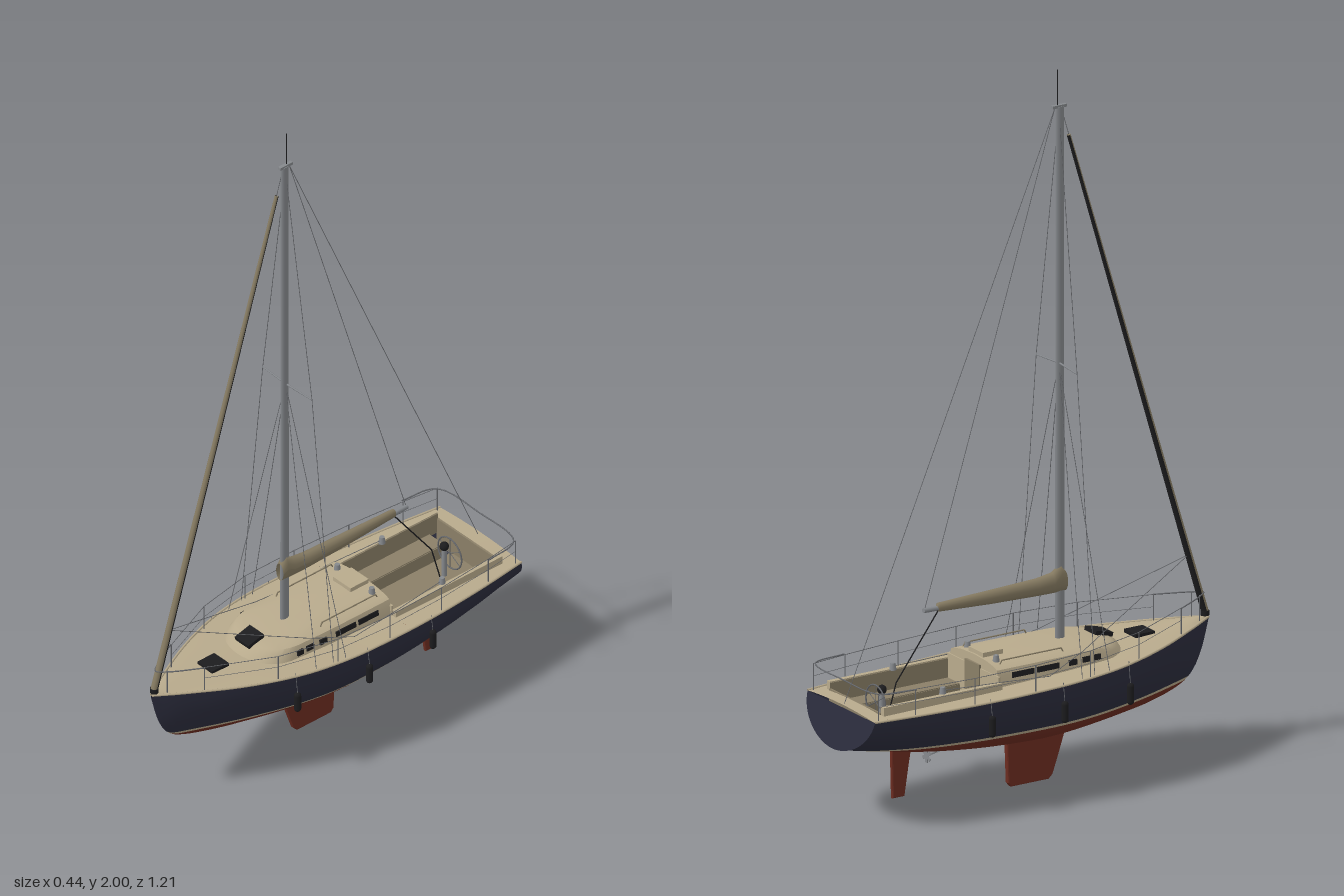
import * as THREE from 'three';
import { toCreasedNormals } from 'three/addons/utils/BufferGeometryUtils.js';

const mat = (name, color) => {
  const m = new THREE.MeshStandardMaterial({ color, side: THREE.DoubleSide });
  m.name = name;
  return m;
};
const M = {
  navy: mat('navy topsides', 0x2b2c3c),
  red: mat('red antifouling', 0x6c2c20),
  deck: mat('sand deck', 0xb8aa8c),
  teak: mat('cockpit tan', 0x8a7f67),
  canvas: mat('sail canvas', 0x857a61),
  metal: mat('spar grey', 0x85888c),
  steel: mat('rigging steel', 0x66686c),
  black: mat('black fittings', 0x1c1c1e),
};
const V = (x, y, z) => new THREE.Vector3(x, y, z);
const clamp = THREE.MathUtils.clamp, lerp = THREE.MathUtils.lerp;

// Hull stations: z, half beam, sheer height, bottom height
const STATIONS = [
  [-0.575, 0.165, 0.325, 0.213], [-0.4, 0.186, 0.326, 0.172], [-0.2, 0.2, 0.328, 0.143],
  [0, 0.203, 0.333, 0.13], [0.1, 0.197, 0.337, 0.132], [0.2, 0.181, 0.341, 0.138],
  [0.3, 0.152, 0.346, 0.146], [0.4, 0.111, 0.351, 0.158], [0.5, 0.06, 0.357, 0.185],
  [0.55, 0.033, 0.36, 0.22], [0.58, 0.014, 0.361, 0.278], [0.6, 0.002, 0.362, 0.35],
];
function at(z, k) {
  let i = 0;
  while (i < STATIONS.length - 2 && z > STATIONS[i + 1][0]) i++;
  const slope = j => {
    const a = STATIONS[Math.max(0, j - 1)], b = STATIONS[Math.min(STATIONS.length - 1, j + 1)];
    return (b[k] - a[k]) / (b[0] - a[0]);
  };
  const a = STATIONS[i], b = STATIONS[i + 1], h = b[0] - a[0], t = clamp((z - a[0]) / h, 0, 1);
  return a[k] * (1 + 2 * t) * (1 - t) ** 2 + slope(i) * h * t * (1 - t) ** 2
    + b[k] * t * t * (3 - 2 * t) + slope(i + 1) * h * t * t * (t - 1);
}
function hullPoint(z, y, side) {
  const t = clamp((y - at(z, 3)) / (at(z, 2) - at(z, 3)), 0, 1);
  const p = 1.9 - 0.4 * clamp((z - 0.1) / 0.5, 0, 1);
  const x = at(z, 1) * Math.pow(1 - Math.pow(1 - t, p), 1 / p);
  return [side * x, y, z - 0.03 * (1 - t) * clamp((-z - 0.45) / 0.125, 0, 1)];
}
const deckY = (x, z) => at(z, 2) + 0.008 * (1 - (x / at(z, 1)) ** 2);
const bowward = v => -0.575 + 1.175 * (1 - Math.pow(1 - v, 1.5));

// Rectangular surface patch; fn takes the u and v indices
function grid(nu, nv, fn) {
  const pos = [], idx = [];
  for (let u = 0; u <= nu; u++) for (let v = 0; v <= nv; v++) pos.push(...fn(u, v));
  for (let u = 0; u < nu; u++) for (let v = 0; v < nv; v++) {
    const a = u * (nv + 1) + v, c = a + nv + 1;
    idx.push(a, a + 1, c, c, a + 1, c + 1);
  }
  const g = new THREE.BufferGeometry();
  g.setAttribute('position', new THREE.Float32BufferAttribute(pos, 3));
  g.setIndex(idx);
  g.computeVertexNormals();
  return g;
}

export function createModel() {
  const boat = new THREE.Group();
  boat.name = 'sailboat';
  const add = (name, geo, m, x = 0, y = 0, z = 0) => {
    const mesh = new THREE.Mesh(geo, m);
    mesh.name = name;
    mesh.position.set(x, y, z);
    boat.add(mesh);
    return mesh;
  };
  const box = (name, w, h, d, m, x, y, z) => add(name, new THREE.BoxGeometry(w, h, d), m, x, y, z);
  const rod = (name, a, b, r, m, r2 = r, sides = 6) => {
    const mesh = add(name, new THREE.CylinderGeometry(r2, r, a.distanceTo(b), sides), m);
    mesh.position.copy(a).lerp(b, 0.5);
    mesh.quaternion.setFromUnitVectors(V(0, 1, 0), b.clone().sub(a).normalize());
    return mesh;
  };
  const line = (name, pts, r = 0.001, m = M.steel) => {
    for (let i = 1; i < pts.length; i++) rod(name, pts[i - 1], pts[i], r, m, r, 5);
  };
  const tube = (name, pts, r, m, n = 40) =>
    add(name, new THREE.TubeGeometry(new THREE.CatmullRomCurve3(pts), n, r, 6), m);

  // Hull: topsides, waterline stripe and bottom in one skin
  const NV = 48, TOP = 6, BOT = 8, HALF = TOP + 1 + BOT;
  const hull = grid(2 * HALF, NV, (u, v) => {
    const z = bowward(v / NV), side = u <= HALF ? 1 : -1, k = u <= HALF ? u : 2 * HALF - u;
    const b = at(z, 3), s = at(z, 2), hi = Math.max(b, 0.21), lo = Math.max(b, 0.2);
    const y = k <= TOP ? lerp(s, hi, k / TOP) : lerp(b, lo, ((HALF - k) / BOT) ** 2);
    return hullPoint(z, y, side);
  });
  let start = 0;
  [[TOP, 0], [1, 1], [2 * BOT, 2], [1, 1], [TOP, 0]].forEach(([rows, m]) => {
    hull.addGroup(start, rows * NV * 6, m);
    start += rows * NV * 6;
  });
  add('hull', hull, [M.navy, M.deck, M.red]);
  add('transom', grid(1, 16, (u, v) => {
    const b = at(-0.575, 3), s = at(-0.575, 2);
    return hullPoint(-0.575, lerp(b, s, (v / 16) ** 2), u ? 1 : -1);
  }), M.navy);

  // Deck around the cockpit opening
  const deck = (z0, z1, nv, x0, x1) => add('deck', grid(8, nv, (u, v) => {
    const z = lerp(z0, z1, v / nv), w = at(z, 1);
    const x = lerp(x0 ?? -w, x1 ?? w, u / 8);
    return [x, deckY(x, z), z];
  }), M.deck);
  deck(-0.575, -0.53, 2);
  deck(-0.53, -0.15, 12, 0.125, undefined);
  deck(-0.53, -0.15, 12, undefined, -0.125);
  deck(-0.15, 0.6, 30);

  // Cockpit
  box('cockpitSole', 0.13, 0.008, 0.38, M.teak, 0, 0.25, -0.34);
  box('cockpitAftWall', 0.25, 0.085, 0.006, M.teak, 0, 0.291, -0.53);
  box('cabinBulkhead', 0.25, 0.12, 0.006, M.deck, 0, 0.305, -0.15);
  box('companionwayDoor', 0.07, 0.1, 0.006, M.teak, 0, 0.325, -0.154);

  // Cabin trunk: outline lofted upward to a crowned roof
  const outline = [[-0.122, -0.15], [-0.122, -0.03], [-0.121, 0.09], [-0.117, 0.18]];
  for (let i = 1; i < 20; i++) {
    const a = Math.PI * (1 - i / 20);
    outline.push([0.117 * Math.cos(a), 0.18 + 0.13 * Math.pow(Math.sin(a), 0.8)]);
  }
  outline.push([0.117, 0.18], [0.121, 0.09], [0.122, -0.03], [0.122, -0.15], [-0.122, -0.15]);
  const rings = [[1, 1, 0.33], [0.96, 0.95, 0.365], [0.92, 0.9, 0.38], [0.82, 0.84, 0.386], [0.5, 0.55, 0.393], [0, 0.2, 0.396]];
  add('cabin', toCreasedNormals(grid(outline.length - 1, rings.length - 1, (u, v) => {
    const [sx, sz, y] = rings[v], [x, z] = outline[u];
    return [x * sx, y, -0.15 + (z + 0.15) * sz];
  }), 0.6), M.deck);
  box('slidingHatch', 0.07, 0.014, 0.065, M.deck, 0, 0.4, -0.112);
  box('cabinHatch', 0.056, 0.012, 0.056, M.black, 0, 0.387, 0.25).rotation.x = 0.25;
  box('foredeckHatch', 0.06, 0.012, 0.06, M.black, 0, 0.36, 0.38);

  // Keel, rudder and propeller shaft
  const fin = (name, pts, t) => {
    const g = new THREE.ExtrudeGeometry(new THREE.Shape(pts.map(p => new THREE.Vector2(...p))),
      { depth: t, bevelEnabled: true, bevelThickness: 0.004, bevelSize: 0.004, bevelOffset: -0.004, bevelSegments: 2 });
    g.translate(0, 0, -t / 2).rotateY(-Math.PI / 2);
    add(name, g, M.red);
  };
  fin('keel', [[0.145, 0.15], [0.115, 0.06], [0.098, 0.012], [0.085, 0], [-0.035, 0], [-0.045, 0.012], [-0.05, 0.15]], 0.008);
  fin('rudder', [[-0.35, 0.19], [-0.362, 0.12], [-0.375, 0.036], [-0.414, 0.036], [-0.418, 0.19]], 0.004);
  rod('propellerShaft', V(0, 0.15, -0.22), V(0, 0.137, -0.3), 0.003, M.metal);
  for (let i = 0; i < 3; i++)
    box('propellerBlade', 0.009, 0.04, 0.003, M.metal, 0, 0.137, -0.302).rotation.z = i * Math.PI / 3;

  // Mast and masthead
  add('mast', new THREE.CylinderGeometry(0.013, 0.014, 1.55, 16), M.metal, 0, 1.12, 0.125).scale.x = 0.55;
  box('masthead', 0.01, 0.008, 0.045, M.metal, 0, 1.896, 0.122);
  rod('antenna', V(0, 1.9, 0.118), V(0, 2, 0.118), 0.0015, M.black);

  // Boom with stowed mainsail
  rod('boom', V(0, 0.54, 0.12), V(0, 0.548, -0.312), 0.007, M.metal, 0.007, 10);
  const cover = [[0.142, 0.015, 0.523, 0.578], [0.125, 0.018, 0.522, 0.6], [0.1, 0.018, 0.522, 0.58],
    [0.05, 0.018, 0.523, 0.572], [-0.1, 0.015, 0.528, 0.567], [-0.265, 0.01, 0.537, 0.562], [-0.272, 0.0005, 0.549, 0.551]];
  add('mainsailCover', grid(14, cover.length - 1, (u, v) => {
    const [z, w, lo, hi] = cover[v], a = -u / 14 * Math.PI * 2;
    return [w * Math.cos(-a), (lo + hi) / 2 + (hi - lo) / 2 * Math.sin(a), z];
  }), M.canvas);
  line('mainsheet', [V(0, 0.54, -0.265), V(0, 0.36, -0.4), V(0, 0.255, -0.43)], 0.002, M.black);

  // Furled headsail: canvas roll with a dark aft strip
  const tack = V(0, 0.375, 0.592), head = V(0, 1.81, 0.154);
  rod('furledJib', tack, head, 0.01, M.canvas, 0.005, 12);
  const strip = rod('jibSunStrip', tack, head, 0.01, M.black);
  strip.geometry = new THREE.CylinderGeometry(0.0058, 0.0108, tack.distanceTo(head), 8, 1, true, Math.PI / 2, Math.PI);
  line('forestay', [head, V(0, 1.89, 0.13)]);
  add('furlerDrum', new THREE.CylinderGeometry(0.012, 0.012, 0.014, 12), M.black, 0, 0.376, 0.59);
  line('backstay', [V(0, 1.89, 0.108), V(0, 0.333, -0.565)]);
  line('toppingLift', [V(0, 1.89, 0.108), V(0, 0.552, -0.308)]);

  // Wheel and pedestal
  rod('pedestal', V(0, 0.25, -0.445), V(0, 0.345, -0.445), 0.008, M.metal, 0.007, 10);
  add('compass', new THREE.SphereGeometry(0.013, 14, 10), M.black, 0, 0.35, -0.445);
  add('wheel', new THREE.TorusGeometry(0.048, 0.0022, 6, 28), M.steel, 0, 0.318, -0.465);
  for (let i = 0; i < 3; i++)
    rod('wheelSpoke', V(0, -0.047, 0), V(0, 0.047, 0), 0.0012, M.steel).position.set(0, 0.318, -0.465);
  boat.children.slice(-3).forEach((s, i) => { s.rotation.set(0, 0, i * Math.PI / 3); });

  // Everything mirrored on both sides
  for (const s of [1, -1]) {
    box('cockpitSeat', 0.06, 0.01, 0.35, M.teak, s * 0.095, 0.29, -0.325);
    box('seatRiser', 0.004, 0.045, 0.35, M.teak, s * 0.065, 0.27, -0.325);
    box('cockpitSideWall', 0.004, 0.062, 0.38, M.teak, s * 0.125, 0.318, -0.34);
    box('coaming', 0.014, 0.03, 0.38, M.deck, s * 0.132, 0.337, -0.34);
    for (const [x, y, z] of [[0.122, 0.352, -0.33], [0.07, 0.39, -0.125]])
      add('winch', new THREE.CylinderGeometry(0.007, 0.01, 0.02, 14), M.metal, s * x, y + 0.008, z);

    // Cabin windows and handrail
    for (const [z, len] of [[-0.07, 0.07], [0.01, 0.07], [0.09, 0.025], [0.135, 0.025], [0.17, 0.02]])
      box('cabinWindow', 0.006, 0.015, len, M.black, s * (z > 0.1 ? 0.1155 : 0.1178), 0.361, z).rotation.z = s * 0.14;
    line('cabinHandrail', [V(s * 0.09, 0.38, 0.08), V(s * 0.09, 0.398, 0.07), V(s * 0.09, 0.398, -0.12), V(s * 0.09, 0.38, -0.13)], 0.002, M.teak);

    // Fenders
    for (const z of [-0.225, 0.005, 0.235]) {
      const x = s * (at(z, 1) + 0.006);
      add('fender', new THREE.CapsuleGeometry(0.01, 0.042, 4, 10), M.black, x, 0.262, z);
      line('fenderRope', [V(x, 0.29, z), V(x - s * 0.008, at(z, 2) + 0.01, z)], 0.001);
    }

    // Toe rail
    const rail = [];
    for (let i = 0; i <= 24; i++) {
      const z = bowward(i / 24);
      rail.push(V(s * at(z, 1), at(z, 2) + 0.001, z));
    }
    tube('toeRail', rail, 0.0035, M.deck, 60);

    // Stanchions and lifelines
    const edge = (z, h) => V(s * Math.max(0, at(z, 1) - 0.008), at(z, 2) + h, z);
    const posts = [0.56, 0.47, 0.28, 0.1, -0.08, -0.27, -0.45, -0.56];
    posts.forEach(z => rod('stanchion', edge(z, 0), edge(z, 0.075), 0.0018, M.steel));
    line('upperLifeline', posts.slice(1).map(z => edge(z, 0.075)));
    line('lowerLifeline', posts.slice(1).map(z => edge(z, 0.04)), 0.0007);

    // Spreaders, shrouds and headsail sheets
    const tip = V(s * 0.1, 1.167, 0.115), root = V(0, 1.17, 0.122);
    rod('spreader', root, tip, 0.003, M.metal, 0.002);
    line('upperShroud', [V(0, 1.88, 0.122), tip, V(s * 0.187, 0.34, 0.115)]);
    line('foreLowerShroud', [root, V(s * 0.178, 0.34, 0.168)]);
    line('aftLowerShroud', [root, V(s * 0.19, 0.337, 0.073)]);
    line('jibSheet', [V(0, 0.55, 0.538), V(s * 0.11, 0.385, 0.13), V(s * 0.142, 0.345, 0), V(s * 0.138, 0.355, -0.15), V(s * 0.122, 0.36, -0.33)]);
  }

  // Bow and stern rails
  tube('pulpit', [V(-0.07, 0.43, 0.47), V(-0.022, 0.434, 0.56), V(0, 0.436, 0.585), V(0.022, 0.434, 0.56), V(0.07, 0.43, 0.47)], 0.002, M.steel);
  tube('pushpit', [V(-0.178, 0.401, -0.45), V(-0.157, 0.401, -0.555), V(0, 0.401, -0.57), V(0.157, 0.401, -0.555), V(0.178, 0.401, -0.45)], 0.002, M.steel);
  return boat;
}
